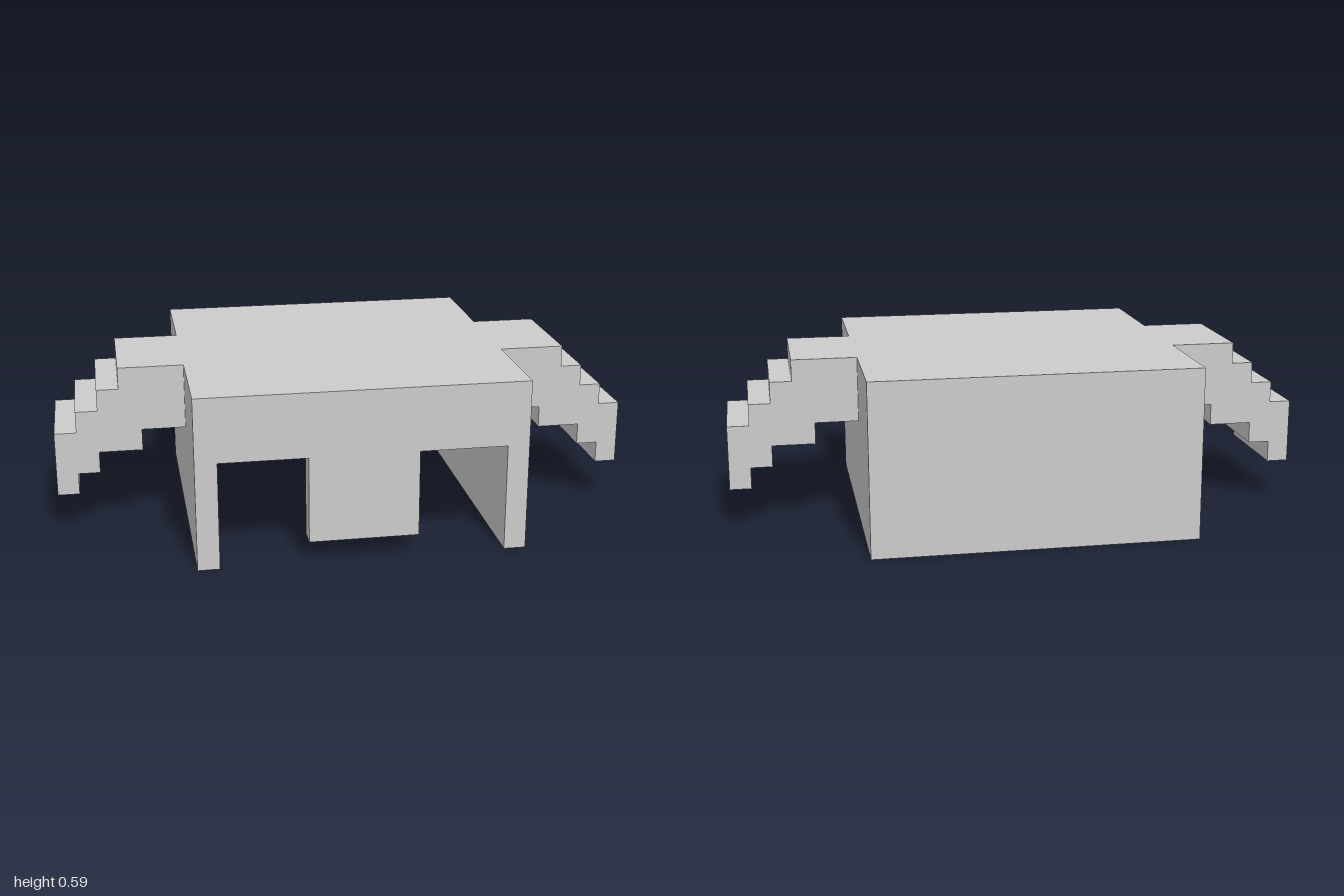
import * as THREE from 'three';

const U = 2 / 27; // one block unit

export function createModel() {
  const group = new THREE.Group();
  const material = new THREE.MeshStandardMaterial({ color: 0xcccccc, flatShading: true });

  const add = (name, geometry) => {
    geometry.scale(U, U, U);
    const mesh = new THREE.Mesh(geometry, material);
    mesh.name = name;
    group.add(mesh);
  };

  // Extrudes an (x, y) outline, in block units, between two depths
  const extrude = (points, z0, z1) =>
    new THREE.ExtrudeGeometry(
      new THREE.Shape(points.map(([x, y]) => new THREE.Vector2(x, y))),
      { depth: z1 - z0, bevelEnabled: false }
    ).translate(0, 0, z0);

  // Thick roof and side walls, hollow underneath
  add('roofAndSideWalls', extrude([
    [-7.5, 0], [-6.5, 0], [-6.5, 5], [6.5, 5], [6.5, 0], [7.5, 0], [7.5, 8], [-7.5, 8],
  ], -7.5, 7.5));

  // Wall closing the back
  add('backWall', new THREE.BoxGeometry(13, 5, 1).translate(0, 2.5, -7));

  // Panel hanging between the two front openings
  add('frontPanel', new THREE.BoxGeometry(5, 4, 1).translate(0, 3, 7));

  // Stepped arms, mirrored to each side
  const arm = [
    [7.5, 5], [9.5, 5], [9.5, 4], [11.5, 4], [11.5, 3], [12.5, 3], [12.5, 2], [13.5, 2],
    [13.5, 5], [12.5, 5], [12.5, 6], [11.5, 6], [11.5, 7], [10.5, 7], [10.5, 8], [7.5, 8],
  ];
  for (const [name, side] of [['leftArm', 1], ['rightArm', -1]]) {
    add(name, extrude(arm.map(([x, y]) => [x * side, y]), -2.5, 2.5));
  }

  return group;
}
